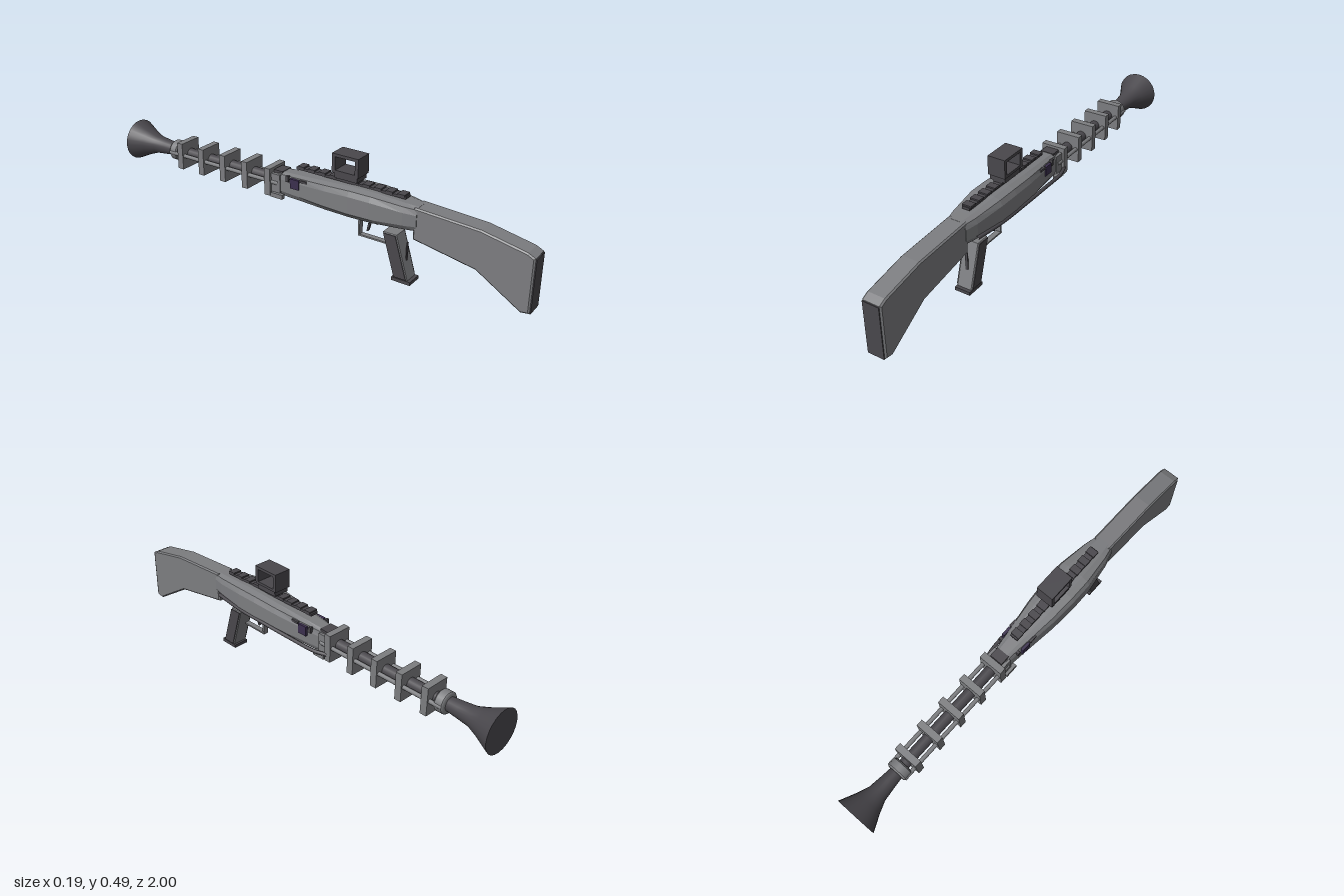
import * as THREE from 'three';

export function createModel() {
  const model = new THREE.Group();
  const mat = (name, color) => {
    const m = new THREE.MeshStandardMaterial({ color });
    m.name = name;
    return m;
  };
  const gray = mat('steel gray', 0x7c7d80);
  const dark = mat('charcoal', 0x49474c);
  const purple = mat('dark purple', 0x3b2f4e);

  const add = (name, geo, material, x = 0, y = 0, z = 0) => {
    const mesh = new THREE.Mesh(geo, material);
    mesh.name = name;
    mesh.position.set(x, y, z);
    model.add(mesh);
    return mesh;
  };
  // box given by half width, y range and z range
  const block = (name, material, hw, y0, y1, z0, z1, x = 0) =>
    add(name, new THREE.BoxGeometry(hw * 2, y1 - y0, Math.abs(z1 - z0)), material, x, (y0 + y1) / 2, (z0 + z1) / 2);
  // side profile of [z, y] points extruded across x
  const profile = (name, material, pts, hw, bevel = 0, x = 0, hole = null) => {
    const shape = new THREE.Shape(pts.map(p => new THREE.Vector2(...p)));
    if (hole) shape.holes.push(new THREE.Path(hole.map(p => new THREE.Vector2(...p))));
    const depth = 2 * (hw - bevel);
    const geo = new THREE.ExtrudeGeometry(shape, {
      depth, bevelEnabled: bevel > 0, bevelThickness: bevel, bevelSize: bevel, bevelOffset: -bevel, bevelSegments: 1,
    });
    geo.translate(0, 0, -depth / 2);
    geo.rotateY(-Math.PI / 2);
    return add(name, geo, material, x);
  };
  // lathe of [z, radius] points, listed from front to muzzle
  const axisY = 0.285;
  const turned = (name, material, pts, sides = 24, x = 0) => {
    const geo = new THREE.LatheGeometry(pts.map(([z, r]) => new THREE.Vector2(r, -z)), sides);
    geo.rotateX(-Math.PI / 2);
    return add(name, geo, material, x, axisY);
  };

  // shoulder stock with a dark butt plate
  profile('stock', gray, [
    [0.5, 0.213], [0.77, 0.165], [0.96, 0.047], [0.996, 0.052],
    [0.996, 0.283], [0.966, 0.298], [0.78, 0.335], [0.5, 0.35],
  ], 0.043, 0.006);
  block('buttPlate', dark, 0.037, 0.052, 0.28, 0.99, 1);

  // receiver lofted from faceted sections: z, half width, top, bottom
  const stations = [
    [0.515, 0.046, 0.35, 0.25], [0.46, 0.06, 0.354, 0.248], [0.32, 0.078, 0.365, 0.24], [0.22, 0.078, 0.364, 0.237],
    [0.1, 0.07, 0.355, 0.235], [-0.04, 0.052, 0.343, 0.233], [-0.17, 0.036, 0.333, 0.23],
  ];
  const rings = stations.map(([z, w, t, b]) => {
    const half = [[0.75 * w, b], [w, b + 0.022], [w, t - 0.03], [0.86 * w, t - 0.008], [0.5 * w, t]];
    const left = half.map(([x, y]) => [-x, y]).reverse();
    return [...half, ...left].map(([x, y]) => [x, y, z]);
  });
  const verts = [];
  const n = rings[0].length;
  for (let i = 0; i < rings.length - 1; i++) {
    for (let j = 0; j < n; j++) {
      const k = (j + 1) % n;
      const a = rings[i][j], b = rings[i][k], c = rings[i + 1][k], d = rings[i + 1][j];
      verts.push(...a, ...d, ...b, ...b, ...d, ...c);
    }
  }
  const last = rings[rings.length - 1];
  for (let j = 1; j < n - 1; j++) {
    verts.push(...rings[0][0], ...rings[0][j], ...rings[0][j + 1]);
    verts.push(...last[0], ...last[j + 1], ...last[j]);
  }
  const bodyGeo = new THREE.BufferGeometry();
  bodyGeo.setAttribute('position', new THREE.Float32BufferAttribute(verts, 3));
  bodyGeo.computeVertexNormals();
  add('receiver', bodyGeo, gray);
  block('bellyPlate', gray, 0.035, 0.228, 0.242, 0.17, 0.34);

  // charging rod along one flank
  const rodPath = new THREE.CatmullRomCurve3([
    [0.064, 0.267, 0.47], [0.076, 0.261, 0.32], [0.074, 0.255, 0.15],
    [0.068, 0.248, 0], [0.064, 0.247, -0.14], [0.05, 0.25, -0.195],
  ].map(p => new THREE.Vector3(...p)));
  add('sideRod', new THREE.TubeGeometry(rodPath, 24, 0.008, 8), dark);

  // top rail with cross teeth
  block('rail', dark, 0.018, 0.362, 0.373, -0.07, 0.45);
  for (let i = 0; i < 10; i++) {
    const z = 0.43 - i * 0.053;
    block('railTooth', dark, 0.021, 0.37, 0.379, z - 0.016, z + 0.016);
  }

  // sight, open from side to side
  block('sightFoot', dark, 0.022, 0.372, 0.384, 0.14, 0.225);
  block('sightBase', dark, 0.036, 0.381, 0.406, 0.13, 0.237);
  profile('sightFrame', dark, [[0.12, 0.404], [0.245, 0.404], [0.245, 0.487], [0.12, 0.487]], 0.04, 0, 0,
    [[0.136, 0.416], [0.136, 0.474], [0.229, 0.474], [0.229, 0.416]]);

  // pistol grip with side panels and foot
  profile('grip', gray, [[0.425, 0.205], [0.482, 0.016], [0.418, 0.016], [0.363, 0.205]], 0.036, 0.004);
  for (const s of [-1, 1]) {
    profile('gripPanel', dark, [[0.422, 0.202], [0.477, 0.02], [0.422, 0.02], [0.367, 0.202]], 0.002, 0, s * 0.037);
  }
  block('gripFoot', dark, 0.036, 0, 0.015, 0.41, 0.496);
  block('gripSpur', dark, 0.006, 0.05, 0.17, 0.456, 0.46);

  // trigger and its guard
  block('guardBottom', gray, 0.012, 0.14, 0.147, 0.235, 0.362);
  block('guardFront', gray, 0.012, 0.14, 0.208, 0.233, 0.241);
  profile('trigger', dark, [[0.287, 0.205], [0.278, 0.17], [0.27, 0.168], [0.277, 0.205]], 0.006);

  // clamp and small fittings at the receiver's nose
  block('noseClamp', gray, 0.044, 0.232, 0.325, -0.185, -0.14);
  block('noseCap', dark, 0.03, 0.32, 0.338, -0.18, -0.135);
  for (const s of [-1, 1]) {
    block('sidePlate', purple, 0.006, 0.287, 0.33, -0.078, -0.033, s * 0.051);
    block('sideLatch', dark, 0.007, 0.309, 0.336, -0.102, -0.09, s * 0.046);
    block('sideLatch', dark, 0.006, 0.325, 0.335, -0.03, 0.005, s * 0.052);
    block('clampLug', gray, 0.009, 0.222, 0.242, -0.18, -0.12, s * 0.048);
    turned('guideRod', gray, [[-0.15, 0.009], [-0.77, 0.009]], 10, s * 0.041);
  }

  // barrel with square fins
  turned('barrel', dark, [[-0.15, 0.024], [-0.79, 0.024]], 16);
  for (let i = 0; i < 5; i++) {
    const z = -0.2 - i * 0.1243;
    block('fin', gray, 0.055, 0.223, 0.346, z - 0.015, z + 0.015);
  }

  // collar and flared muzzle
  turned('collar', gray, [
    [-0.73, 0], [-0.73, 0.04], [-0.737, 0.046], [-0.737, 0.046],
    [-0.768, 0.046], [-0.768, 0.046], [-0.775, 0.04], [-0.775, 0],
  ]);
  turned('muzzleBell', dark, [[-0.77, 0.029], [-0.82, 0.034], [-0.88, 0.041], [-0.93, 0.06], [-1, 0.093]]);
  const cap = add('muzzleCap', new THREE.CircleGeometry(0.093, 24), dark, 0, axisY, -1);
  cap.rotation.y = Math.PI;
  return model;
}
